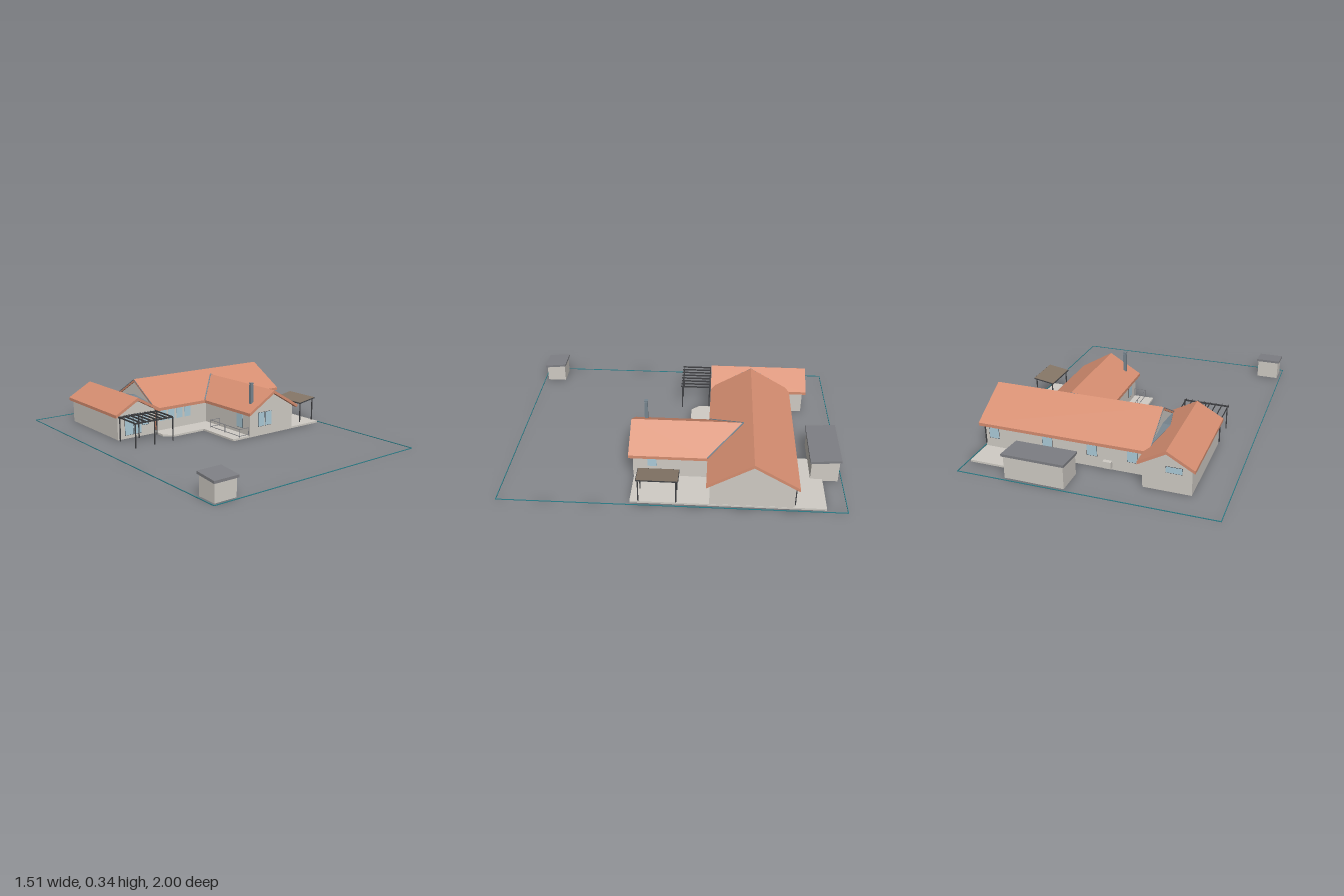
import * as THREE from 'three';

const mat = (name, color) => {
  const m = new THREE.MeshStandardMaterial({ color });
  m.name = name;
  return m;
};

export function createModel() {
  const model = new THREE.Group();
  model.name = 'houseOnPlot';
  const M = {
    roof: mat('terracotta', 0xd68e71),
    wall: mat('render', 0xd0ccc5),
    glass: mat('glass', 0xadccda),
    trim: mat('darkMetal', 0x404144),
    felt: mat('greyRoofing', 0x7f8085),
    canopy: mat('brownPanel', 0x857667),
    line: mat('boundaryTeal', 0x2a7d88),
    lead: mat('lead', 0x77858f),
  };
  const add = (name, geo, m) => {
    const mesh = new THREE.Mesh(geo, m);
    mesh.name = name;
    model.add(mesh);
    return mesh;
  };

  // box given by its limits on each axis
  const box = (name, m, x0, x1, y0, y1, z0, z1) =>
    add(name, new THREE.BoxGeometry(x1 - x0, y1 - y0, z1 - z0)
      .translate((x0 + x1) / 2, (y0 + y1) / 2, (z0 + z1) / 2), m);

  // square bar from p to q
  const bar = (name, m, p, q, w) => {
    const a = new THREE.Vector3(...p), b = new THREE.Vector3(...q);
    const mesh = add(name, new THREE.BoxGeometry(w, w, a.distanceTo(b)), m);
    mesh.position.copy(a).add(b).multiplyScalar(0.5);
    mesh.lookAt(b);
  };

  // upright square post
  const post = (name, m, x, z, y0, y1, r) => box(name, m, x - r, x + r, y0, y1, z - r, z + r);

  // solid between a sloping outline and the same outline lowered by a rule
  const prism = (name, m, outline, lower) => {
    const t = outline.map(p => new THREE.Vector3(...p));
    const n = t[1].clone().sub(t[0]).cross(t[2].clone().sub(t[0]));
    if (n.y < 0) t.reverse();
    const u = t.map(p => new THREE.Vector3(p.x, lower(p.y), p.z));
    const tris = [];
    for (let i = 1; i < t.length - 1; i++) tris.push(t[0], t[i], t[i + 1], u[0], u[i + 1], u[i]);
    t.forEach((p, i) => {
      const j = (i + 1) % t.length;
      tris.push(u[i], u[j], t[j], u[i], t[j], p);
    });
    const g = new THREE.BufferGeometry().setFromPoints(tris);
    g.computeVertexNormals();
    add(name, g, m);
  };
  const slab = (name, m, outline, t) => prism(name, m, outline, y => y - t);

  // flat plate cut from an x/z outline
  const plate = (name, m, pts, y0, y1) => {
    const s = new THREE.Shape(pts.map(([x, z]) => new THREE.Vector2(x, -z)));
    const g = new THREE.ExtrudeGeometry(s, { depth: y1 - y0, bevelEnabled: false });
    add(name, g.rotateX(-Math.PI / 2).translate(0, y0, 0), m);
  };

  // five-sided gabled wall block, ridge along z
  const gableWalls = (name, hw, eave, peak, length) => {
    const s = new THREE.Shape([[-hw, 0.01], [hw, 0.01], [hw, eave], [0, peak], [-hw, eave]]
      .map(p => new THREE.Vector2(...p)));
    const g = new THREE.ExtrudeGeometry(s, { depth: length, bevelEnabled: false });
    return add(name, g.translate(0, 0, -length / 2), M.wall);
  };

  // thin window on a wall facing along z or x; dir is the outward sign
  const pane = (axis, dir, at, a0, a1, y0, y1, framed = true) => {
    const plateAt = (name, m, grow, depth) => {
      const lo = Math.min(at, at + dir * depth), hi = Math.max(at, at + dir * depth);
      const r = [a0 - grow, a1 + grow, y0 - grow, y1 + grow];
      if (axis === 'z') box(name, m, r[0], r[1], r[2], r[3], lo, hi);
      else box(name, m, lo, hi, r[2], r[3], r[0], r[1]);
    };
    if (framed) plateAt('windowFrame', M.trim, 0.002, 0.001);
    plateAt('windowPane', M.glass, 0, 0.002);
  };

  // plot boundary
  const corners = [[-0.755, -0.985], [0.745, -0.997], [0.752, 0.987], [-0.747, 0.995]];
  corners.forEach(([x, z], i) => {
    const [x2, z2] = corners[(i + 1) % 4];
    bar('plotBoundary', M.line, [x, 0.002, z], [x2, 0.002, z2], 0.004);
  });

  // foundation slab and terraces
  const footprint = [[-0.555, -0.81], [-0.28, -0.81], [-0.28, -0.7], [0.27, -0.7], [0.27, -0.88],
    [0.73, -0.88], [0.73, 0.225], [0, 0.225], [0, -0.08], [-0.235, -0.08], [-0.285, -0.13],
    [-0.285, -0.225], [-0.555, -0.225]];
  plate('terrace', M.wall, footprint, 0, 0.012);

  // walls of the three wings
  const mainWalls = gableWalls('mainWalls', 0.238, 0.156, 0.295, 1.008);
  mainWalls.rotation.y = Math.PI / 2;
  mainWalls.position.set(0.224, 0, -0.4625);
  gableWalls('frontWingWalls', 0.179, 0.159, 0.264, 0.58).position.set(0.308, 0, -0.06);
  gableWalls('leftWingWalls', 0.138, 0.157, 0.234, 0.585).position.set(-0.417, 0, -0.5175);

  // tiled roofs, two slopes each
  const T = 0.019;
  for (const s of [-1, 1]) {
    const ze = -0.4625 + s * 0.257;
    slab('mainRoof', M.roof, [[-0.285, 0.165, ze], [0.757, 0.165, ze],
      [0.757, 0.315, -0.4625], [-0.285, 0.315, -0.4625]], T);
    const xf = 0.308 + s * 0.203;
    slab('frontWingRoof', M.roof, [[xf, 0.165, 0.254], [0.308, 0.285, 0.254],
      [0.308, 0.285, -0.411], [xf, 0.165, -0.206]], T);
    bar('valleyFlashing', M.lead, [0.308, 0.284, -0.409], [xf, 0.165, -0.206], 0.008);
    const xl = -0.415 + s * 0.16;
    slab('leftWingRoof', M.roof, [[xl, 0.165, -0.205], [-0.415, 0.255, -0.205],
      [-0.415, 0.255, -0.83], [xl, 0.165, -0.83]], T);
    // lead cricket between the left wing and the main gable
    slab('cricket', M.lead, [[-0.328, 0.208, -0.4625], [-0.282, 0.212, -0.4625],
      [-0.282, 0.184, -0.4625 + s * 0.215]], 0.004);
    bar('gableFlashing', M.lead, [-0.286, 0.312, -0.4625], [-0.286, 0.176, -0.4625 + s * 0.23], 0.004);
  }

  // chimney with raised cap
  box('chimney', M.lead, 0.17, 0.19, 0.18, 0.325, 0.168, 0.188);
  box('chimneyNeck', M.lead, 0.173, 0.187, 0.325, 0.332, 0.171, 0.185);
  box('chimneyCap', M.lead, 0.169, 0.191, 0.332, 0.338, 0.167, 0.189);

  // front windows
  const F = -0.225;
  pane('z', 1, F, -0.502, -0.442, 0.022, 0.15);
  pane('z', 1, F, -0.437, -0.385, 0.022, 0.15);
  pane('z', 1, F, -0.375, -0.33, 0.07, 0.148);
  for (let i = 0; i < 4; i++) pane('z', 1, F, -0.243 + i * 0.064, -0.193 + i * 0.064, 0.073, 0.142, false);
  pane('z', 1, 0.23, 0.197, 0.248, 0.062, 0.15);
  pane('z', 1, 0.23, 0.255, 0.306, 0.062, 0.15);
  pane('z', 1, F, 0.523, 0.535, 0.035, 0.135, false);
  pane('z', 1, F, 0.572, 0.628, 0.08, 0.143, false);

  // side and back windows
  pane('x', 1, 0.487, 0.09, 0.145, 0.08, 0.145, false);
  pane('x', -1, 0.129, 0.1, 0.16, 0.05, 0.14);
  pane('z', -1, -0.81, -0.5, -0.41, 0.118, 0.153);
  for (const x of [-0.185, 0.056, 0.33, 0.67]) pane('z', -1, -0.7005, x - 0.03, x + 0.03, 0.07, 0.135);

  // small wall fittings
  box('airUnit', M.wall, -0.065, -0.015, 0.015, 0.057, -0.725, -0.7);
  box('doorStep', M.wall, 0.505, 0.55, 0.012, 0.02, -0.225, -0.207);
  box('downpipe', M.roof, -0.28, -0.273, 0.02, 0.155, -0.225, -0.217);
  box('backDownpipe', M.trim, 0.723, 0.729, 0.03, 0.155, -0.706, -0.7);

  // terrace railing
  const rail = [[0.128, -0.075], [0.055, -0.075], [0.055, 0.072], [0.055, 0.218], [0.128, 0.218]];
  rail.forEach(([x, z], i) => {
    post('railPost', M.felt, x, z, 0.012, 0.064, 0.0015);
    if (!i) return;
    for (const y of [0.02, 0.064]) bar('handrail', M.felt, [rail[i - 1][0], y, rail[i - 1][1]], [x, y, z], 0.003);
  });

  // pergola of thin upright boards on posts
  for (const z of [-0.195, -0.015]) box('pergolaBeam', M.trim, -0.565, -0.285, 0.147, 0.157, z - 0.002, z + 0.002);
  for (let i = 0; i < 8; i++) {
    const x = -0.56 + i * 0.038;
    box('pergolaSlat', M.trim, x - 0.0015, x + 0.0015, 0.15, 0.16, -0.2, -0.005);
  }
  for (const x of [-0.555, -0.42, -0.286]) {
    for (const z of [-0.195, -0.015]) post('pergolaPost', M.trim, x, z, 0, 0.15, 0.003);
  }

  // side canopy: brown panel, dark edge boards and four posts
  const edge = [[0.602, 0.149, -0.048], [0.735, 0.169, -0.048], [0.735, 0.169, 0.185], [0.602, 0.149, 0.185]];
  slab('canopyPanel', M.canopy, edge, 0.008);
  edge.forEach(([x, y, z], i) => {
    const [x2, y2, z2] = edge[(i + 1) % 4];
    bar('canopyEdge', M.trim, [x, y - 0.005, z], [x2, y2 - 0.005, z2], 0.006);
  });
  for (const [x, top] of [[0.613, 0.146], [0.724, 0.16]]) {
    for (const z of [-0.037, 0.177]) post('canopyPost', M.trim, x, z, 0.012, top, 0.003);
  }

  // outbuildings with single-pitch roofs: roof limits and roof heights at z0 and z1
  const shed = (name, x0, x1, z0, z1, y0, y1) => {
    const quad = (d, drop) => [[x0 + d, y0 - drop, z0 + d], [x1 - d, y0 - drop, z0 + d],
      [x1 - d, y1 - drop, z1 - d], [x0 + d, y1 - drop, z1 - d]];
    slab(name + 'Roof', M.felt, quad(0, 0), 0.015);
    prism(name + 'Walls', M.wall, quad(0.009, 0.013), () => 0);
  };
  shed('gardenHut', -0.735, -0.58, 0.838, 0.98, 0.131, 0.118);
  shed('backShed', 0.1, 0.472, -0.98, -0.8, 0.153, 0.141);

  return model;
}
